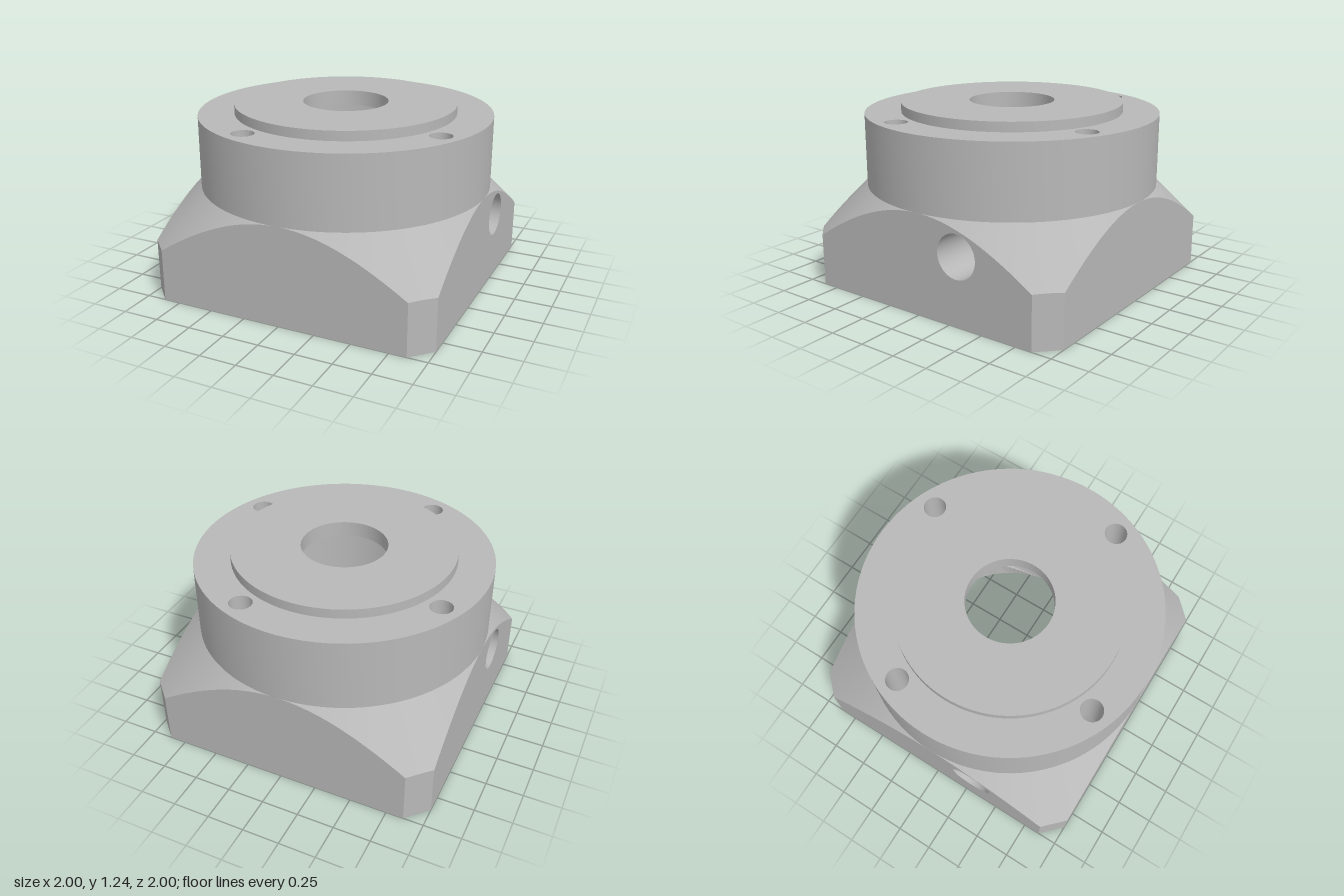
import * as THREE from 'three';
import { toCreasedNormals } from 'three/addons/utils/BufferGeometryUtils.js';

const PI = Math.PI, TAU = 2 * PI;
const CHAMFER = Math.atan(0.865);           // half angle of a flat side
const DIAG = 1.865 / Math.SQRT2;            // distance of the corner chamfers
const BORE = 0.665, SEAT = 0.778, SEAT_Y = 0.18, BORE_Y = 0.62, NOTCH_Y = 0.75;
const BOLT_D = 0.866, BOLT_R = 0.075, NOTCH_R = 0.113, BOLT_A = Math.atan2(0.33, 0.8);
const PORT = { y: 0.46, off: 0.31, r: 0.147 };
const coneY = (r) => 1.68 - r;

const range = (n, a, b) => Array.from({ length: n + 1 }, (_, i) => a + ((b - a) * i) / n);
const v2 = (x, y) => new THREE.Vector2(x, y);
const circle = (x, y, r, n = 40) =>
  range(n, 0, TAU).slice(0, n).map((t) => v2(x + r * Math.cos(t), y + r * Math.sin(t)));

function shapeOf(outline, holes = []) {
  const s = new THREE.Shape(outline);
  holes.forEach((h) => s.holes.push(new THREE.Path(h)));
  return new THREE.ShapeGeometry(s);
}

// Ruled surface between two point rows
function strip(a, b) {
  const pos = [];
  for (let i = 0; i + 1 < a.length; i++)
    [a[i], a[i + 1], b[i + 1], a[i], b[i + 1], b[i]].forEach((p) => pos.push(...p));
  const g = new THREE.BufferGeometry();
  g.setAttribute('position', new THREE.Float32BufferAttribute(pos, 3));
  return g;
}

const lathe = (pts, seg = 96, start = 0, len = TAU) =>
  new THREE.LatheGeometry(pts.map((p) => v2(...p)), seg, start, len);

// Seat circle joined with the bolt notches (outer) or bitten by them
function seatOutline(outer) {
  const beta = Math.acos((SEAT ** 2 + BOLT_D ** 2 - NOTCH_R ** 2) / (2 * SEAT * BOLT_D));
  const gamma = Math.atan2(SEAT * Math.sin(beta), SEAT * Math.cos(beta) - BOLT_D);
  const pts = [];
  for (let k = 0; k < 4; k++) {
    const a = BOLT_A + (k * PI) / 2;
    range(20, -gamma, outer ? gamma : gamma - TAU).forEach((t) =>
      pts.push(v2(BOLT_D * Math.cos(a) + NOTCH_R * Math.cos(a + t),
        BOLT_D * Math.sin(a) + NOTCH_R * Math.sin(a + t))));
    range(20, a + beta, a + PI / 2 - beta).slice(1, -1).forEach((t) =>
      pts.push(v2(SEAT * Math.cos(t), SEAT * Math.sin(t))));
  }
  return pts;
}

// Upright side whose top edge follows the cone
function sideFace(dist, half, hasPort) {
  const top = range(32, half, -half).map((t) => v2(dist * Math.tan(t), coneY(dist / Math.cos(t))));
  const w = dist * Math.tan(half);
  const holes = hasPort ? [circle(PORT.off, PORT.y, PORT.r)] : [];
  return shapeOf([v2(-w, 0), v2(w, 0), ...top], holes).translate(0, 0, dist);
}

// Curved piece of bore wall around a port opening
function portPatch(from, to) {
  const outline = [...range(16, from, to).map((v) => v2(v, SEAT_Y)),
    ...range(16, to, from).map((v) => v2(v, BORE_Y))];
  const hole = circle(PORT.off, PORT.y, PORT.r).map((p) => v2(Math.asin(p.x / BORE), p.y));
  const g = shapeOf(outline, [hole]), p = g.attributes.position;
  for (let i = 0; i < p.count; i++) {
    const v = p.getX(i);
    p.setXYZ(i, BORE * Math.cos(v), p.getY(i), -BORE * Math.sin(v));
  }
  g.index.array.reverse();
  return g;
}

export function createModel() {
  const model = new THREE.Group();
  model.name = 'flangeHousing';
  const metal = new THREE.MeshStandardMaterial({ color: 0xb8b8b8, side: THREE.DoubleSide });
  metal.name = 'grey metal';
  const add = (name, geo) => {
    const m = new THREE.Mesh(toCreasedNormals(geo, 0.5), metal);
    m.name = name;
    model.add(m);
    return m;
  };

  // Square base: flat sides and chamfered corners
  for (let k = 0; k < 4; k++) {
    add('baseSide', sideFace(1, CHAMFER, k % 2 === 1)).rotation.y = (k * PI) / 2;
    add('cornerChamfer', sideFace(DIAG, PI / 4 - CHAMFER, false)).rotation.y = PI / 4 + (k * PI) / 2;
  }

  // Conical shoulder between base and round flange
  const inner = [], outer = [];
  const shoulder = (mid, half, dist) => range(32, -half, half).forEach((t) => {
    const c = Math.cos(mid + t), s = Math.sin(mid + t), r = dist / Math.cos(t);
    inner.push([c, 0.68, s]);
    outer.push([r * c, coneY(r), r * s]);
  });
  for (let k = 0; k < 4; k++) {
    shoulder((k * PI) / 2, CHAMFER, 1);
    shoulder((k * PI) / 2 + PI / 4, PI / 4 - CHAMFER, DIAG);
  }
  add('shoulder', strip(inner, outer));

  // Round flange, raised boss and stepped upper bore
  add('flangeWall', lathe([[1, 0.68], [1, 1.17]]));
  const bolts = range(3, 0, 3).map((k) => BOLT_A + (k * PI) / 2);
  add('flangeTop', shapeOf(circle(0, 0, 1, 96), [circle(0, 0, 0.755, 96),
    ...bolts.map((a) => circle(BOLT_D * Math.cos(a), -BOLT_D * Math.sin(a), BOLT_R))])
    .rotateX(-PI / 2).translate(0, 1.17, 0));
  add('bossAndUpperBore', lathe([[0.755, 1.17], [0.755, 1.235], [0.29, 1.235], [0.29, 1.13],
    [0.56, 1.13], [0.56, BORE_Y], [BORE, BORE_Y]]));

  // Underside with the seat recess
  const corners = [[1, 1], [-1, 1], [-1, -1], [1, -1]];
  const octagon = corners.flatMap(([x, z]) => {
    const e = [v2(x, 0.865 * z), v2(0.865 * x, z)];
    return x * z > 0 ? e : e.reverse();
  });
  const rim = seatOutline(true);
  add('underside', shapeOf(octagon,
    [rim, ...corners.map(([x, z]) => circle(0.71 * x, 0.71 * z, 0.078, 32))]).rotateX(PI / 2));
  const loop = [...rim, rim[0]];
  add('seatWall', strip(loop.map((p) => [p.x, 0, p.y]), loop.map((p) => [p.x, SEAT_Y, p.y])));
  add('seatLedge', shapeOf(seatOutline(false), [circle(0, 0, BORE, 96)])
    .rotateX(PI / 2).translate(0, SEAT_Y, 0));

  // Blind countersunk holes in the corners
  corners.forEach(([x, z]) => add('cornerHole',
    lathe([[0, 0.3], [0.042, 0.3], [0.042, 0.04], [0.078, 0]], 32).translate(0.71 * x, 0, 0.71 * z)));

  // Bolt holes with wider notches below
  bolts.forEach((a) => {
    const x = BOLT_D * Math.cos(a), z = BOLT_D * Math.sin(a);
    add('boltHole', lathe([[BOLT_R, 1.17], [BOLT_R, NOTCH_Y], [NOTCH_R, NOTCH_Y],
      [NOTCH_R, SEAT_Y]], 40).translate(x, 0, z));
  });

  // Main bore and the two cross ports
  const from = 0.2, to = 0.81;
  const ring = range(40, 0, TAU).map((t) => [PORT.y + PORT.r * Math.cos(t), -PORT.off + PORT.r * Math.sin(t)]);
  for (const turn of [0, PI]) {
    add('boreWall', lathe([[BORE, BORE_Y], [BORE, SEAT_Y]], 40, PI / 2 + to, PI - to + from)).rotation.y = turn;
    add('borePortWall', portPatch(from, to)).rotation.y = turn;
    add('sidePort', strip(ring.map(([y, z]) => [1, y, z]),
      ring.map(([y, z]) => [Math.sqrt(BORE ** 2 - z * z), y, z]))).rotation.y = turn;
  }
  return model;
}
